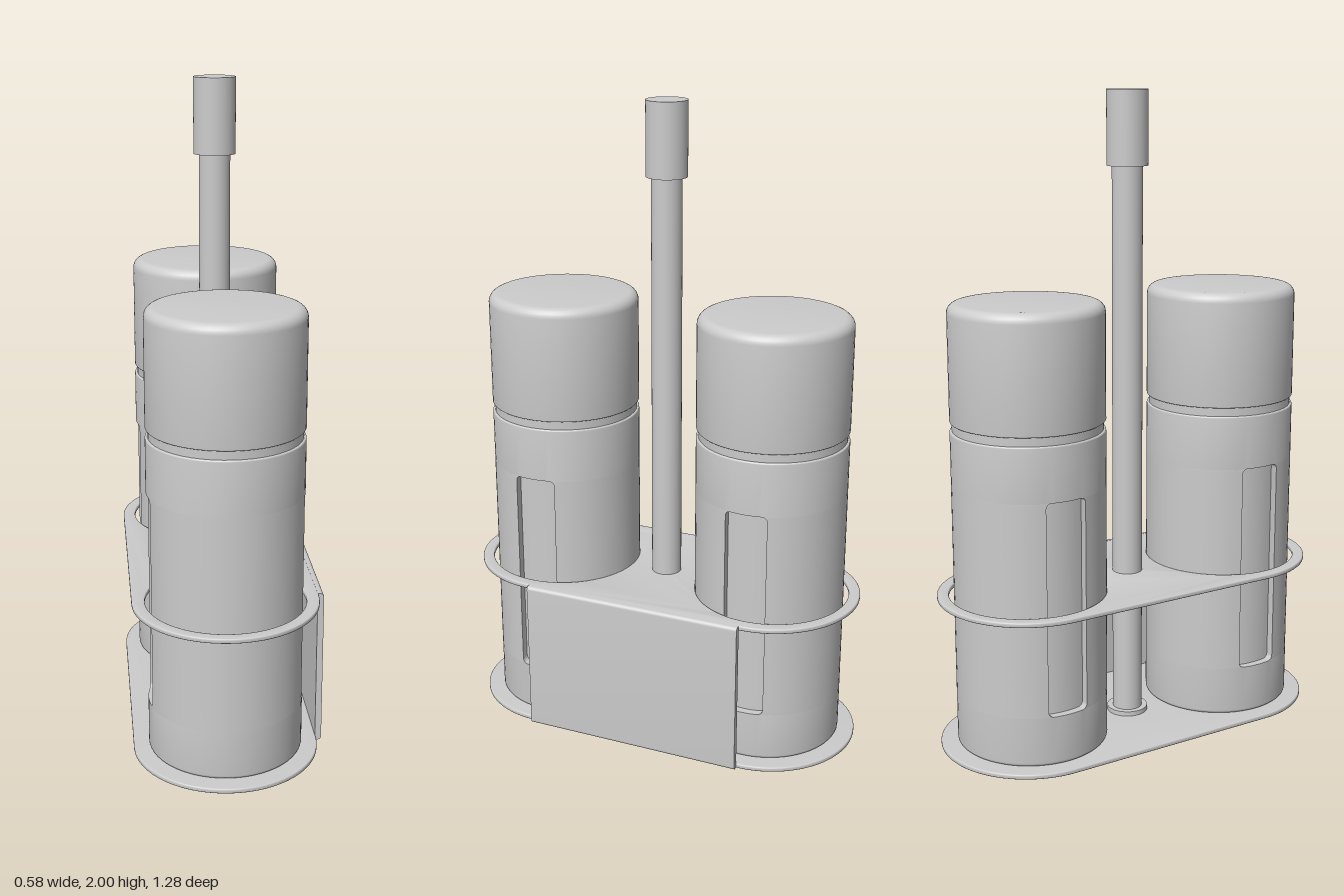
import * as THREE from 'three';
import { toCreasedNormals } from 'three/addons/utils/BufferGeometryUtils.js';

const CX = -0.01;       // shared centre line
const BOTTLE_Z = 0.352;
const PLATE_R = 0.2825;
const PLATE_T = 0.015;
const material = new THREE.MeshStandardMaterial({ color: 0xcccccc });

function part(name, geometry, parent) {
  const mesh = new THREE.Mesh(geometry, material);
  mesh.name = name;
  parent.add(mesh);
  return mesh;
}

// Creases at a larger scale so that small fillets are kept apart
function crease(geometry) {
  geometry.scale(100, 100, 100);
  const result = toCreasedNormals(geometry, 0.6);
  result.scale(0.01, 0.01, 0.01);
  return result;
}

// Round cross-section with a notch of half width w and floor radius f on +x and -x
function section([y, r, w = 0.05, f = r]) {
  w = Math.min(w, 0.3 * r);
  const points = [];
  const a = Math.asin(w / r), floorSteps = 8, arcSteps = 28;
  for (const s of [1, -1]) {
    const add = (x, z) => points.push([s * x, y, s * z]);
    add(Math.sqrt(r * r - w * w), -w);
    for (let i = 0; i <= floorSteps; i++) {
      const z = w * (2 * i / floorSteps - 1);
      add(Math.sqrt(f * f - z * z), z);
    }
    for (let i = 0; i < arcSteps; i++) {
      const t = a + (Math.PI - 2 * a) * i / arcSteps;
      add(r * Math.cos(t), r * Math.sin(t));
    }
  }
  return points;
}

// Skin a stack of levels with quads
function loft(levels) {
  const loops = levels.map(section);
  const n = loops[0].length, index = [];
  for (let j = 0; j < loops.length - 1; j++) {
    for (let i = 0; i < n; i++) {
      const k = (i + 1) % n;
      const a = j * n + i, a1 = j * n + k, b = a + n, b1 = a1 + n;
      index.push(a, b, a1, a1, b, b1);
    }
  }
  const g = new THREE.BufferGeometry();
  g.setAttribute('position', new THREE.Float32BufferAttribute(loops.flat(2), 3));
  g.setIndex(index);
  return crease(g.toNonIndexed());
}

// Quarter-round levels between a side of radius r and a flat end at y
function fillet(r, y, size, up) {
  const levels = [];
  for (let i = 0; i <= 6; i++) {
    const t = i / 6 * Math.PI / 2;
    levels.push([y - up * size * (1 - Math.sin(t)), r - size * (1 - Math.cos(t))]);
  }
  return up > 0 ? levels : levels.reverse();
}

function bottleBody() {
  const r = 0.235, w = 0.066, f = 0.21, c = 0.016, y0 = 0.172, y1 = 0.838;
  // Rounded slot ends: the notch widens over the corner height
  const corner = [0, 1, 2, 3, 4, 5].map(i => {
    const t = i / 5 * Math.PI / 2;
    return [c * (1 - Math.cos(t)), w - c * (1 - Math.sin(t))];
  });
  return loft([
    [PLATE_T, 1e-4], ...fillet(r, PLATE_T, 0.012, -1),
    [y0, r, w - c, r],
    ...corner.map(([dy, hw]) => [y0 + dy, r, hw, f]),
    ...corner.slice().reverse().map(([dy, hw]) => [y1 - dy, r, hw, f]),
    [y1, r, w - c, r],
    ...fillet(r, 1.008, 0.005, 1), [1.008, 0.2]
  ]);
}

function bottleCap() {
  const r = 0.235;
  return loft([[1.035, 0.2], ...fillet(r, 1.035, 0.004, -1), ...fillet(r, 1.392, 0.03, 1), [1.392, 1e-4]]);
}

// Stadium-shaped sheet with a softened rim, optionally pierced for the bottles
function plate(pierced) {
  const d = 0.357, bevel = 0.004;
  const shape = new THREE.Shape();
  shape.absarc(0, d, PLATE_R, 0, Math.PI);
  shape.absarc(0, -d, PLATE_R, Math.PI, 2 * Math.PI);
  shape.closePath();
  if (pierced) {
    for (const s of [1, -1]) {
      shape.holes.push(new THREE.Path().absarc(0, s * 0.361, 0.243, 0, 2 * Math.PI, true));
    }
  }
  const g = new THREE.ExtrudeGeometry(shape, {
    depth: PLATE_T - 2 * bevel, bevelSize: bevel, bevelThickness: bevel,
    bevelOffset: -bevel, bevelSegments: 3, curveSegments: 48
  });
  g.translate(0, 0, bevel).rotateX(-Math.PI / 2);
  return crease(g);
}

// Upright sheet joining both plates, with rounded bends on its outer side
function sidePanel() {
  const x0 = CX + PLATE_R - 0.002, x1 = 0.29, h = 0.495, b = 0.012, halfLength = 0.355;
  const shape = new THREE.Shape();
  shape.moveTo(x0, 0);
  shape.lineTo(x1 - b, 0);
  shape.absarc(x1 - b, b, b, -Math.PI / 2, 0);
  shape.absarc(x1 - b, h - b, b, 0, Math.PI / 2);
  shape.lineTo(x0, h);
  shape.closePath();
  const g = new THREE.ExtrudeGeometry(shape, { depth: 2 * halfLength, bevelEnabled: false, curveSegments: 6 });
  g.translate(0, 0, -halfLength);
  return crease(g);
}

function cylinder(r, y0, y1) {
  return new THREE.CylinderGeometry(r, r, y1 - y0, 48).translate(0, (y0 + y1) / 2, 0);
}

export function createModel() {
  const model = new THREE.Group();
  model.name = 'bottleCaddy';

  // Caddy frame
  const frame = new THREE.Group();
  frame.name = 'frame';
  model.add(frame);
  part('basePlate', plate(false), frame).position.x = CX;
  part('upperPlate', plate(true), frame).position.set(CX, 0.48, 0);
  part('sidePanel', sidePanel(), frame);

  // Central carrying handle
  const handle = new THREE.Group();
  handle.name = 'handle';
  handle.position.x = CX;
  model.add(handle);
  part('handleCollar', cylinder(0.065, PLATE_T, 0.03), handle);
  part('handleRod', cylinder(0.047, PLATE_T, 1.78), handle);
  part('handleGrip', cylinder(0.063, 1.775, 2), handle);

  // Two matching bottles
  const body = bottleBody(), neck = cylinder(0.228, 0.99, 1.05), cap = bottleCap();
  for (const [name, s] of [['frontBottle', 1], ['backBottle', -1]]) {
    const bottle = new THREE.Group();
    bottle.name = name;
    bottle.position.set(CX, 0, s * BOTTLE_Z);
    part('bottleBody', body, bottle);
    part('bottleNeck', neck, bottle);
    part('bottleCap', cap, bottle);
    model.add(bottle);
  }
  return model;
}
